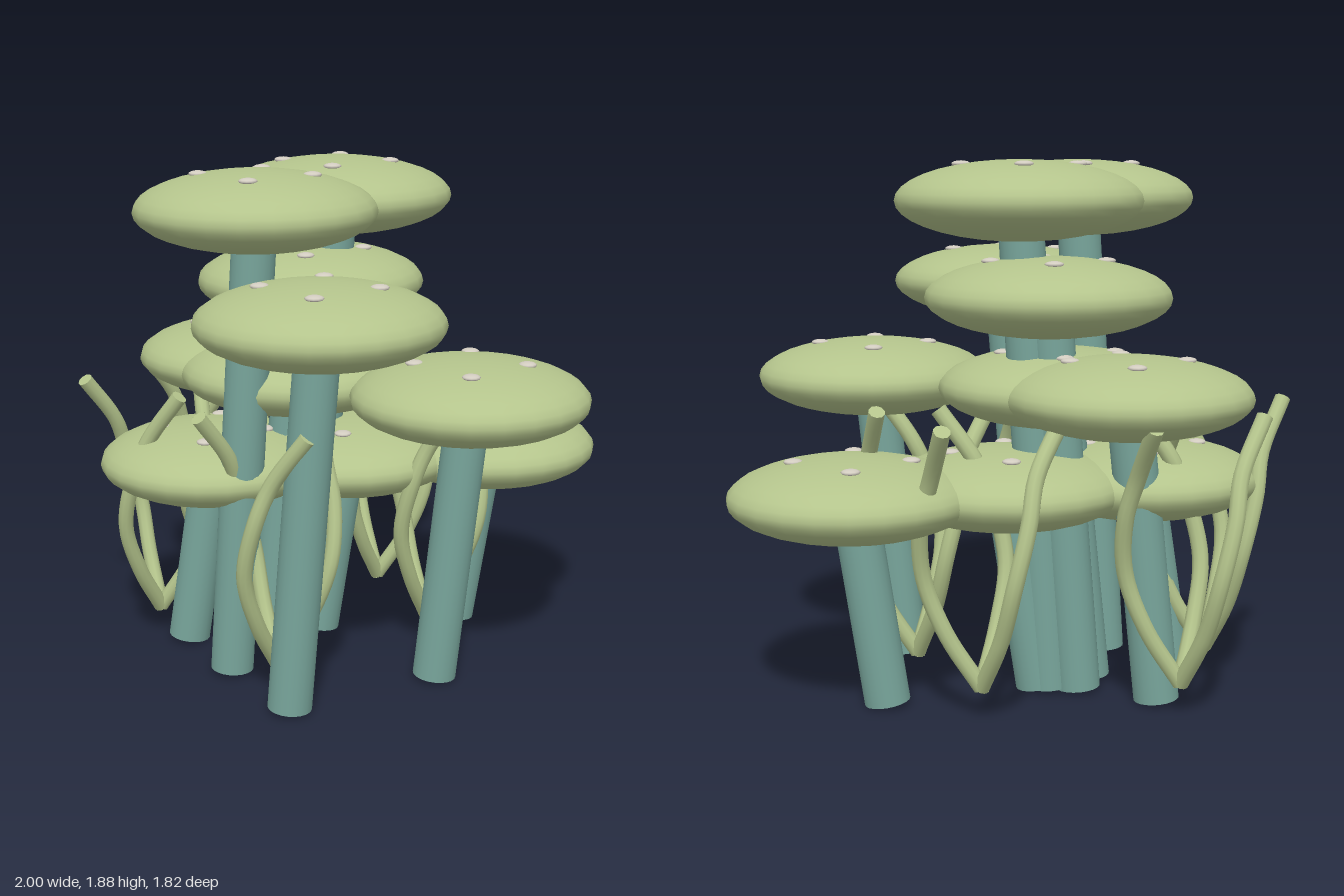
import * as THREE from 'three';

const capMat = new THREE.MeshStandardMaterial({ color: 0xb4c48c });
const stemMat = new THREE.MeshStandardMaterial({ color: 0x78a59b });
const spotMat = new THREE.MeshStandardMaterial({ color: 0xd2ccc0 });
const tendrilMat = new THREE.MeshStandardMaterial({ color: 0xb4c48c, side: THREE.DoubleSide });
capMat.name = 'sage cap';
stemMat.name = 'teal stem';
spotMat.name = 'pale spot';
tendrilMat.name = 'sage tendril';

const CAP_R = 0.43, CAP_H = 0.14, STEM_R = 0.08, LEAN = 0.11;

// cap centres: x, y, z
const mushrooms = [
  [-0.27, 1.74, 0.15], [-0.02, 1.74, -0.31],
  [-0.02, 1.41, 0.48], [-0.12, 1.41, -0.33],
  [0.49, 1.08, 0.16], [-0.38, 1.08, -0.48], [-0.17, 1.08, -0.20],
  [0.56, 0.74, -0.45], [-0.48, 0.74, -0.15], [0.02, 0.74, -0.30],
];

// tendril cluster bases: x, z
const clusters = [[-0.71, -0.2], [-0.19, 0.32], [0.13, -0.62], [0.34, -0.2], [-0.55, -0.62]];

// one tendril: height, distance from the base, twist in degrees
const tendrilPath = [
  [0.11, 0, 60], [0.3, 0.12, 60], [0.5, 0.195, 59],
  [0.7, 0.21, 45], [0.85, 0.2, 28], [1.03, 0.27, 0],
];

function add(parent, name, geometry, material) {
  const mesh = new THREE.Mesh(geometry, material);
  mesh.name = name;
  parent.add(mesh);
  return mesh;
}

function makeMushroom([x, y, z]) {
  const g = new THREE.Group();
  g.name = 'mushroom';

  // flattened cap
  const cap = add(g, 'cap', new THREE.SphereGeometry(CAP_R, 24, 18), capMat);
  cap.scale.y = CAP_H / CAP_R;
  cap.position.set(x, y, z);

  // leaning stem, running up to the middle of the cap
  const foot = new THREE.Vector3(x - LEAN, 0.012, z);
  const axis = new THREE.Vector3(x, y, z).sub(foot);
  const stem = add(g, 'stem', new THREE.CylinderGeometry(STEM_R, STEM_R, axis.length(), 20), stemMat);
  stem.position.copy(foot).addScaledVector(axis, 0.5);
  stem.quaternion.setFromUnitVectors(new THREE.Vector3(0, 1, 0), axis.normalize());

  // four spots around the crown
  const d = 0.2, rise = CAP_H * Math.sqrt(1 - (d / CAP_R) ** 2);
  for (let i = 0; i < 4; i++) {
    const a = i * Math.PI / 2;
    const spot = add(g, 'spot', new THREE.SphereGeometry(0.033, 12, 8), spotMat);
    spot.scale.y = 0.35;
    spot.position.set(x + d * Math.cos(a), y + rise, z + d * Math.sin(a));
  }
  return g;
}

function makeCluster([x, z]) {
  const g = new THREE.Group();
  g.name = 'tendrilCluster';
  // three twisting tendrils sharing one base
  for (const heading of [180, 60, -60]) {
    const points = tendrilPath.map(([y, r, twist]) => {
      const a = THREE.MathUtils.degToRad(heading + twist);
      return new THREE.Vector3(x + r * Math.cos(a), y, z + r * Math.sin(a));
    });
    const curve = new THREE.CatmullRomCurve3(points);
    add(g, 'tendril', new THREE.TubeGeometry(curve, 28, 0.029, 10), tendrilMat);
    // closed ends
    for (const t of [0, 1]) {
      const end = add(g, 'tendrilEnd', new THREE.CircleGeometry(0.029, 10), tendrilMat);
      end.position.copy(curve.getPoint(t));
      end.quaternion.setFromUnitVectors(
        new THREE.Vector3(0, 0, 1), curve.getTangent(t).multiplyScalar(t ? 1 : -1));
    }
  }
  return g;
}

export function createModel() {
  const model = new THREE.Group();
  model.name = 'mushroomCluster';
  for (const m of mushrooms) model.add(makeMushroom(m));
  for (const c of clusters) model.add(makeCluster(c));
  return model;
}
